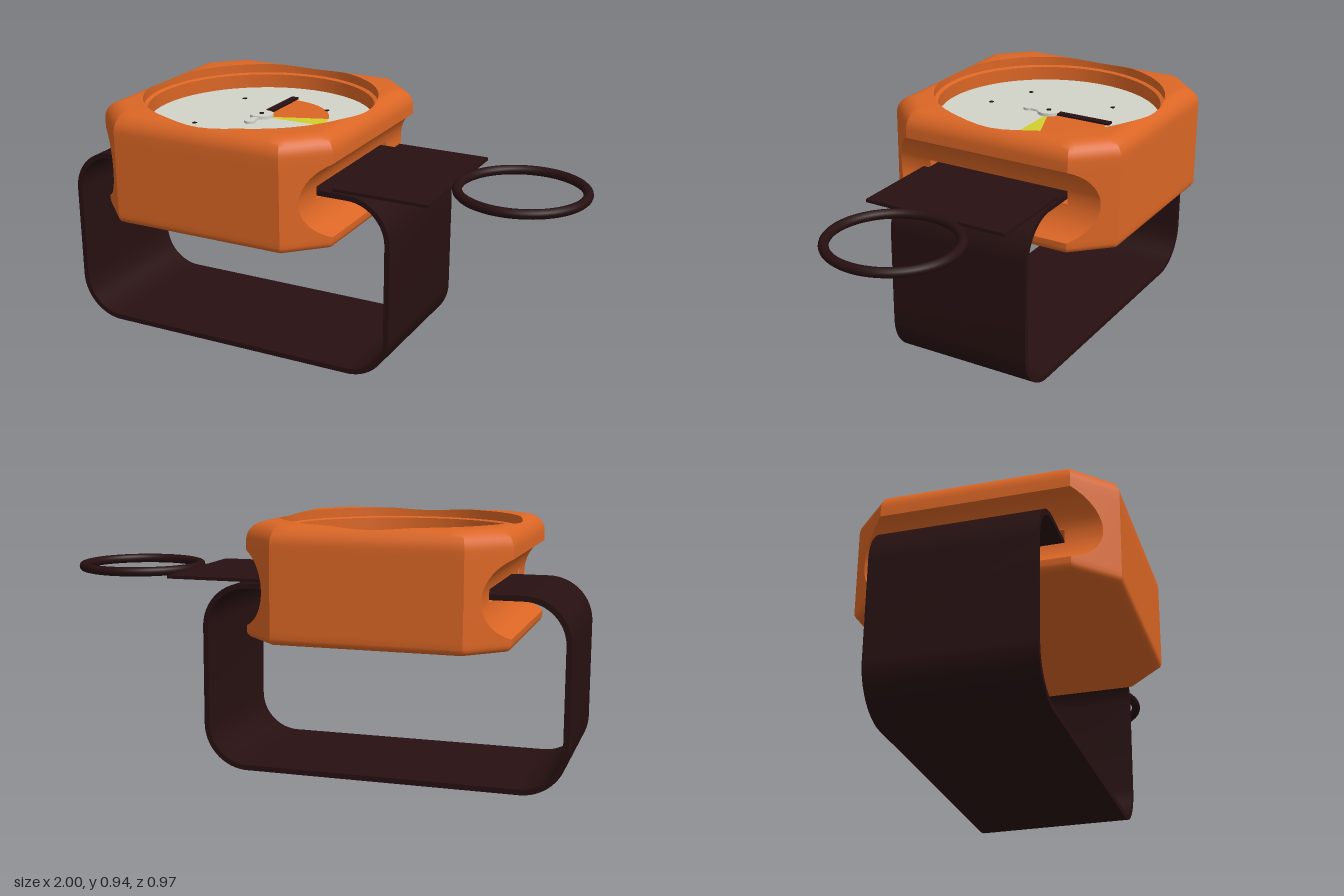
import * as THREE from 'three';
import { toCreasedNormals } from 'three/addons/utils/BufferGeometryUtils.js';

const material = (name, color) => {
  const m = new THREE.MeshStandardMaterial({ color });
  m.name = name;
  return m;
};

const CX = -0.315;                 // case centre
const HALF = 0.485, SUM = 0.83;    // octagon half width and chamfer plane
const BOTTOM = 0.52, TOP = 0.945, R_TOP = 0.07, R_BOT = 0.025;
const GROOVE = { y: 0.7025, r: 0.15, x: 0.545, half: 0.1375 };
const SLOT = { z: 0.3, y0: 0.675, y1: 0.73 };
const HOLE = 0.45, LEDGE = 0.435, DIAL_Y = 0.85;

// One octagonal outline, inset evenly and pinched on the two strap sides
function outline(inset, pinch) {
  const w = HALF - inset - pinch, d = HALF - inset, s = SUM - inset * Math.SQRT2;
  const L = s - w, k = s - d, half = [[w, -L]];
  const line = (x0, z0, x1, z1, n) => {
    for (let i = 0; i < n; i++) half.push([x0 + (x1 - x0) * i / n, z0 + (z1 - z0) * i / n]);
  };
  line(w, -SLOT.z, w, SLOT.z, 12);
  half.push([w, SLOT.z]);
  line(w, L, k, d, 8);
  line(k, d, -k, d, 14);
  line(-k, d, -w, L, 8);
  return half.concat(half.map(([x, z]) => [-x, -z]));
}

// Height of the rounded top at a point
function topHeight(x, z) {
  x = Math.abs(x); z = Math.abs(z);
  const e = Math.min(HALF - x, HALF - z, (SUM - x - z) / Math.SQRT2, R_TOP);
  return TOP - R_TOP + Math.sqrt(Math.max(0, R_TOP ** 2 - (R_TOP - e) ** 2));
}

function caseGeometry() {
  const rings = [];
  const add = (inset, pinch, y) => rings.push(outline(inset, pinch).map(([x, z]) => [x, y, z]));
  const atRadius = (r, y) => rings.push(outline(R_TOP, 0).map(([x, z]) => {
    const f = r / Math.hypot(x, z);
    return [x * f, y ?? topHeight(x * f, z * f), z * f];
  }));

  // underside and its small rounding
  atRadius(0.0001, BOTTOM);
  for (let i = 0; i <= 4; i++) {
    const a = i / 4 * Math.PI / 2;
    add(R_BOT * (1 - Math.sin(a)), 0, BOTTOM + R_BOT * (1 - Math.cos(a)));
  }
  // concave grooves
  const limit = Math.asin(GROOVE.half / GROOVE.r), ys = [SLOT.y0, SLOT.y1];
  for (let i = 0; i <= 18; i++) ys.push(GROOVE.y + GROOVE.r * Math.sin(limit * (i / 9 - 1)));
  ys.sort((a, b) => a - b);
  for (const y of ys) {
    const x = GROOVE.x - Math.sqrt(GROOVE.r ** 2 - (y - GROOVE.y) ** 2);
    add(0, Math.max(0, HALF - x), y);
  }
  // rounded top edge, cut by the round opening
  for (let i = 0; i <= 8; i++) {
    const inset = R_TOP * (1 - Math.cos(i / 8 * Math.PI / 2));
    rings.push(outline(inset, 0).map(([x, z]) => {
      const f = Math.max(1, HOLE / Math.hypot(x, z));
      return [x * f, topHeight(x * f, z * f), z * f];
    }));
  }
  // stepped well around the dial
  atRadius(HOLE);
  atRadius(HOLE, 0.91);
  atRadius(LEDGE, 0.905);
  atRadius(LEDGE, DIAL_Y - 0.01);

  const n = rings[0].length, index = [];
  for (let i = 0; i < rings.length - 1; i++) {
    const y = (rings[i][0][1] + rings[i + 1][0][1]) / 2;
    const slotRow = y > SLOT.y0 && y < SLOT.y1;
    for (let j = 0; j < n; j++) {
      const c = j % (n / 2);
      if (slotRow && c >= 1 && c <= 12) continue;   // strap slot
      const k = (j + 1) % n, a = i * n + j, b = i * n + k;
      index.push(a, a + n, b + n, a, b + n, b);
    }
  }
  const g = new THREE.BufferGeometry();
  g.setAttribute('position', new THREE.Float32BufferAttribute(rings.flat(2), 3));
  g.setIndex(index);
  return toCreasedNormals(g, 0.6);
}

// Rounded rectangle in x and y
function roundedRect(path, x0, y0, x1, y1, r) {
  path.moveTo(x0 + r, y0);
  path.lineTo(x1 - r, y0);
  path.absarc(x1 - r, y0 + r, r, -Math.PI / 2, 0);
  path.lineTo(x1, y1 - r);
  path.absarc(x1 - r, y1 - r, r, 0, Math.PI / 2);
  path.lineTo(x0 + r, y1);
  path.absarc(x0 + r, y1 - r, r, Math.PI / 2, Math.PI);
  path.lineTo(x0, y0 + r);
  path.absarc(x0 + r, y0 + r, r, Math.PI, Math.PI * 1.5);
  return path;
}

export function createModel() {
  const orange = material('orange', 0xdb6625);
  const dark = material('darkStrap', 0x271011);
  const pale = material('paleDial', 0xd2d4c9);
  const yellow = material('yellow', 0xd2ce30);

  const model = new THREE.Group();
  model.name = 'wristGauge';
  const mesh = (name, geometry, mat, x = 0, y = 0, z = 0, parent = model) => {
    const m = new THREE.Mesh(geometry, mat);
    m.name = name;
    m.position.set(x, y, z);
    parent.add(m);
    return m;
  };
  const box = (name, mat, w, h, d, x, y, z, parent) =>
    mesh(name, new THREE.BoxGeometry(w, h, d), mat, x, y, z, parent);

  // Case with the tunnel for the strap
  mesh('case', caseGeometry(), orange, CX);
  for (const s of [-1, 1]) {
    box('slotSide', orange, 0.785, SLOT.y1 - SLOT.y0, 0.008, CX, (SLOT.y0 + SLOT.y1) / 2, s * (SLOT.z + 0.004));
    box('slotFace', orange, 0.785, 0.008, SLOT.z * 2, CX, s > 0 ? SLOT.y1 + 0.004 : SLOT.y0 - 0.004, 0);
  }

  // Strap loop
  const loop = roundedRect(new THREE.Shape(), -1, 0, 0.367, 0.71, 0.17);
  loop.holes.push(roundedRect(new THREE.Path(), -0.98, 0.02, 0.347, 0.69, 0.15));
  const strap = new THREE.ExtrudeGeometry(loop, { depth: 0.58, bevelEnabled: false, curveSegments: 14 });
  mesh('strap', toCreasedNormals(strap, 0.6), dark, 0, 0, -0.29);

  // Free strap end and pull ring
  box('strapEnd', dark, 0.37, 0.012, 0.58, 0.325, 0.721, 0);
  mesh('pullRing', new THREE.TorusGeometry(0.232, 0.018, 12, 64), dark, 0.75, 0.725, 0).rotation.x = Math.PI / 2;

  // Dial and its markings
  const dial = new THREE.Group();
  dial.name = 'dial';
  dial.position.set(CX, DIAL_Y, 0);
  model.add(dial);
  const sector = (name, mat, r, y, from, to) => {
    const rad = THREE.MathUtils.degToRad;
    mesh(name, new THREE.CircleGeometry(r, 64, rad(from), rad(to - from)), mat, 0, y, 0, dial).rotation.x = -Math.PI / 2;
  };
  sector('dialFace', pale, LEDGE, 0, 0, 360);
  sector('orangeZone', orange, 0.26, 0.004, 20, 90);
  sector('yellowZone', yellow, 0.26, 0.004, 0, 20);
  for (const deg of [0, 45, 135, 225, 270]) {
    const a = deg * Math.PI / 180;
    box('tick', dark, 0.014, 0.003, 0.014, 0.264 * Math.cos(a), 0.0045, -0.264 * Math.sin(a), dial);
  }

  // Needle with its hub and round counterweight
  const disc = (name, mat, r, h, y, z) =>
    mesh(name, new THREE.CylinderGeometry(r, r, h, 32), mat, 0, y, z, dial);
  box('needle', dark, 0.03, 0.008, 0.24, 0, 0.01, -0.15, dial);
  box('needleTail', pale, 0.028, 0.008, 0.09, 0, 0.01, 0.05, dial);
  disc('counterweight', pale, 0.022, 0.01, 0.01, 0.09);
  disc('hub', pale, 0.046, 0.012, 0.011, 0);
  disc('pin', dark, 0.009, 0.008, 0.016, 0);
  return model;
}
